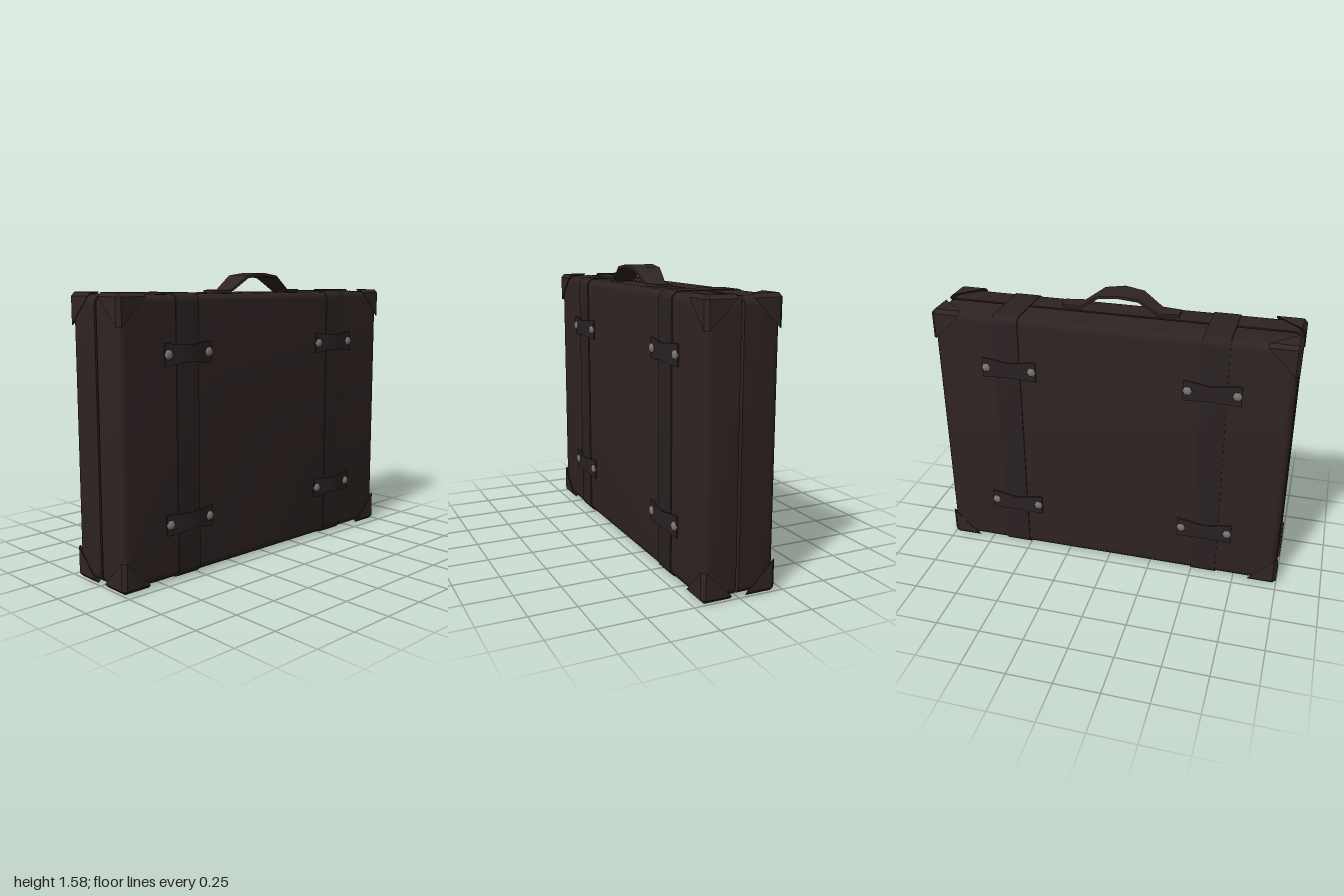
import * as THREE from 'three';
import { toCreasedNormals } from 'three/addons/utils/BufferGeometryUtils.js';
import { ConvexGeometry } from 'three/addons/geometries/ConvexGeometry.js';

const paint = (name, color) => {
  const m = new THREE.MeshStandardMaterial({ color });
  m.name = name;
  return m;
};

// Rounded rectangle centred on the origin
function roundedRect(path, w, h, r) {
  const x = w / 2, y = h / 2;
  path.moveTo(-x + r, -y);
  path.lineTo(x - r, -y);
  path.absarc(x - r, -y + r, r, -Math.PI / 2, 0);
  path.lineTo(x, y - r);
  path.absarc(x - r, y - r, r, 0, Math.PI / 2);
  path.lineTo(-x + r, y);
  path.absarc(-x + r, y - r, r, Math.PI / 2, Math.PI);
  path.lineTo(-x, -y + r);
  path.absarc(-x + r, -y + r, r, Math.PI, Math.PI * 1.5);
  return path;
}

// Move every vertex of a geometry by a rule
function reshape(geometry, rule) {
  const p = geometry.attributes.position;
  const v = new THREE.Vector3();
  for (let i = 0; i < p.count; i++) {
    rule(v.fromBufferAttribute(p, i));
    p.setXYZ(i, v.x, v.y, v.z);
  }
  geometry.computeVertexNormals();
  return geometry;
}

export function createModel() {
  const leather = paint('dark brown leather', 0x2e2322);
  const strapLeather = paint('strap leather', 0x2b2222);
  const guardLeather = paint('corner leather', 0x302524);
  const seamDark = paint('seam shadow black', 0x120e0e);
  const metal = paint('grey metal', 0x777674);

  const group = new THREE.Group();
  const add = (name, geometry, material, x = 0, y = 0, z = 0, parent = group) => {
    const mesh = new THREE.Mesh(geometry, material);
    mesh.name = name;
    mesh.position.set(x, y, z);
    parent.add(mesh);
    return mesh;
  };

  const midY = 0.745, faceZ = 0.2, bevel = 0.04;

  // Case halves: rounded on the outer face, flat at the seam
  function half(depth) {
    const g = new THREE.ExtrudeGeometry(roundedRect(new THREE.Shape(), 1.984, 1.468, 0.05), {
      depth: depth - bevel, bevelSize: bevel, bevelOffset: -bevel,
      bevelThickness: bevel, bevelSegments: 4, curveSegments: 4,
    });
    reshape(g, (v) => { v.z = Math.max(v.z, 0); });
    return toCreasedNormals(g, 0.7);
  }
  add('frontHalf', half(faceZ - 0.018), leather, 0, midY, 0.018);
  add('backHalf', half(faceZ + 0.002), leather, 0, midY, -0.002 + 0.004).rotation.y = Math.PI;
  add('seamCore', new THREE.BoxGeometry(1.93, 1.42, 0.1), seamDark, 0, midY, 0);

  // Straps running round the whole case
  const ring = roundedRect(new THREE.Shape(), 0.412, 1.48, 0.046);
  ring.holes.push(roundedRect(new THREE.Path(), 0.39, 1.455, 0.04));
  const strapGeo = toCreasedNormals(
    new THREE.ExtrudeGeometry(ring, { depth: 0.145, bevelEnabled: false, curveSegments: 4 }), 0.7);
  strapGeo.translate(0, 0, -0.0725).rotateY(Math.PI / 2);
  for (const x of [-0.573, 0.573]) add('strap', strapGeo, strapLeather, x, midY, 0);

  // Corner guards: chamfered three-sided caps
  const L = 0.165, c = 0.02;
  for (const sx of [-1, 1]) for (const sy of [-1, 1]) for (const sz of [-1, 1]) {
    const points = [];
    for (const [a, b] of [[c, c], [L, c], [c, L]]) {
      for (const [x, y, z] of [[a, b, 0], [0, a, b], [b, 0, a]]) {
        points.push(new THREE.Vector3(
          sx * (1 - x), midY + sy * (0.744 - y), sz * (0.208 - z)));
      }
    }
    add('cornerGuard', new ConvexGeometry(points), guardLeather);
  }

  // Small riveted tabs on both faces, bulging over the straps
  const tabGeo = toCreasedNormals(reshape(new THREE.BoxGeometry(0.31, 0.114, 0.008, 8, 1, 1), (v) => {
    const k = 0.5 + 0.5 * Math.cos((v.x / 0.155) * Math.PI);
    v.y *= 1 - 0.22 * k;
    v.z += 0.013 * k;
  }), 0.6);
  const studGeo = new THREE.SphereGeometry(0.028, 6, 4).rotateX(Math.PI / 2).scale(1, 1, 0.6);
  for (const side of [1, -1]) {
    const face = new THREE.Group();
    face.name = side > 0 ? 'frontTabs' : 'backTabs';
    face.scale.z = side;
    group.add(face);
    for (const x of [-0.567, 0.563]) for (const y of [0.305, 1.18]) {
      add('tab', tabGeo, strapLeather, x, y, faceZ + 0.004, face);
      for (const dx of [-0.132, 0.132]) {
        add('stud', studGeo, metal, x + dx, y, faceZ + 0.009, face);
      }
    }
  }

  // Carrying handle: an arched band, widest in the middle, with flat end tabs
  const rise = [0.09, 0.076, 0, 0], halfWidth = [0.087, 0.077, 0.058, 0.04];
  const handleGeo = reshape(new THREE.BoxGeometry(0.66, 0.015, 2, 6, 1, 1), (v) => {
    const i = Math.round(Math.abs(v.x) / 0.11);
    v.y += rise[i];
    v.z *= halfWidth[i];
  });
  add('handle', toCreasedNormals(handleGeo, 0.9), guardLeather, 0, 1.488, 0.09);

  return group;
}
